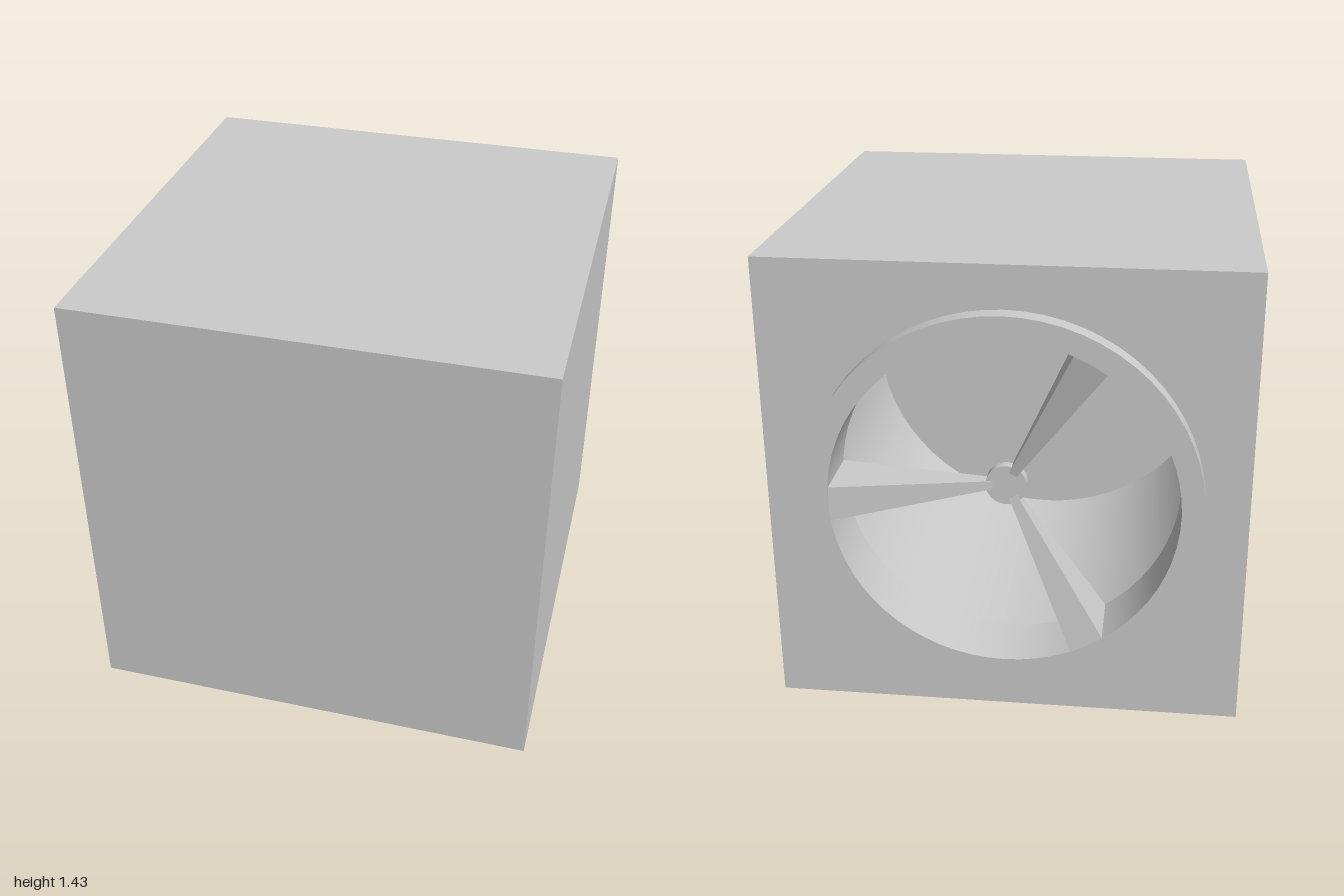
import * as THREE from 'three';
import { mergeGeometries, toCreasedNormals } from 'three/addons/utils/BufferGeometryUtils.js';

const SIDE = 1.429, HALF = SIDE / 2;   // cube
const WALL = 0.14;                     // wall thickness
const RING_OUT = 0.585, RING_IN = 0.517, CAVITY_R = 0.655;
const RING_FRONT = HALF + 0.057, RING_BACK = HALF - WALL;
const HUB_Y = 0.028, HUB_Z = 0.665;

export function createModel() {
  const material = new THREE.MeshStandardMaterial({ color: 0xcccccc });
  const thin = new THREE.MeshStandardMaterial({ color: 0xcccccc, side: THREE.DoubleSide });
  const cabinet = new THREE.Group();
  cabinet.name = 'cabinet';

  const add = (name, geometry, mat = material) => {
    const mesh = new THREE.Mesh(geometry, mat);
    mesh.name = name;
    cabinet.add(mesh);
    return mesh;
  };
  // Lathe whose axis is z; points are [radius, z]
  const turned = (points) => toCreasedNormals(
    new THREE.LatheGeometry(points.map(([r, z]) => new THREE.Vector2(r, z)), 64).rotateX(Math.PI / 2), 0.6);

  // Front panel with a round opening
  const front = new THREE.Shape([[-HALF, -HALF], [HALF, -HALF], [HALF, HALF], [-HALF, HALF]]
    .map(([x, y]) => new THREE.Vector2(x, y)));
  front.holes.push(new THREE.Path().absarc(0, 0, RING_OUT - 0.005, 0, Math.PI * 2, true));
  const panels = [new THREE.ShapeGeometry(front, 32).translate(0, 0, HALF)];

  // Five closed outer panels
  const panel = () => new THREE.PlaneGeometry(SIDE, SIDE).translate(0, 0, HALF);
  for (let i = 1; i < 4; i++) panels.push(panel().rotateY(i * Math.PI / 2));
  panels.push(panel().rotateX(Math.PI / 2), panel().rotateX(-Math.PI / 2));
  add('outerPanels', mergeGeometries(panels), thin);

  // Round inner chamber behind the opening
  add('innerChamber', turned([
    [RING_IN + 0.02, RING_BACK], [CAVITY_R, RING_BACK], [CAVITY_R, -HALF + WALL], [0, -HALF + WALL],
  ]), thin);

  // Block high on one side of the chamber
  add('innerBlock', new THREE.BoxGeometry(0.25, 0.18, 0.65)).position.set(-0.46, 0.43, 0.14);

  // Ring set into the opening
  add('ring', turned([
    [RING_IN, RING_BACK], [RING_OUT, RING_BACK], [RING_OUT, RING_FRONT], [RING_IN, RING_FRONT], [RING_IN, RING_BACK],
  ]), thin);

  // Hub disc
  add('hub', toCreasedNormals(new THREE.CylinderGeometry(0.062, 0.062, 0.03, 32).rotateX(Math.PI / 2), 0.6))
    .position.set(0, HUB_Y, HUB_Z);

  // Spokes: bars that widen and deepen from the hub to the ring
  for (const degrees of [61, 182, -61]) {
    const a = THREE.MathUtils.degToRad(degrees);
    const geometry = new THREE.BoxGeometry(1, 1, 1);
    const p = geometry.attributes.position;
    for (let i = 0; i < p.count; i++) {
      const rim = p.getX(i) > 0, side = p.getY(i) * 2, face = p.getZ(i) * 2;
      const angle = a + side * 0.105;
      if (rim) {
        p.setXYZ(i, Math.cos(angle) * 0.522, Math.sin(angle) * 0.522,
          face > 0 ? RING_FRONT - 0.002 : RING_BACK + 0.002);
      } else {
        p.setXYZ(i, Math.cos(a) * 0.03 - Math.sin(a) * side * 0.012,
          HUB_Y + Math.sin(a) * 0.03 + Math.cos(a) * side * 0.012, HUB_Z + face * 0.013);
      }
    }
    const flat = geometry.toNonIndexed();
    flat.computeVertexNormals();
    add('spoke', flat);
  }

  // Stand on the ground, turned so the opening faces the back corner
  cabinet.position.y = HALF;
  cabinet.rotation.y = Math.atan2(0.855, -1.145);
  const model = new THREE.Group();
  model.name = 'ventedCube';
  model.add(cabinet);
  return model;
}
